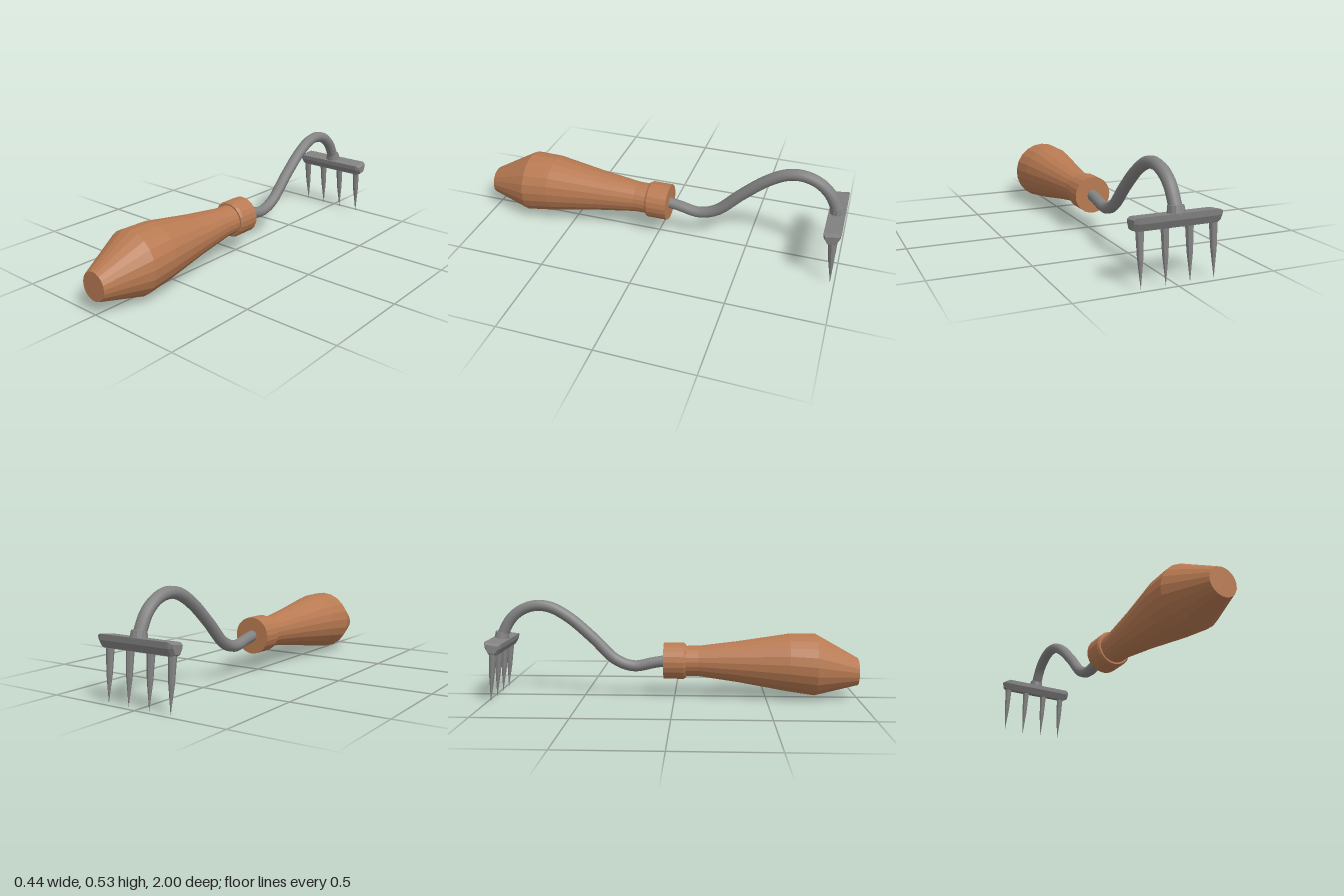
import * as THREE from 'three';

const wood = new THREE.MeshStandardMaterial({ color: 0xb87a52 });
wood.name = 'wood';
const metal = new THREE.MeshStandardMaterial({ color: 0x838383 });
metal.name = 'steel';

// Faceted mesh: unshared vertices give one normal per face
function facet(name, geometry, material) {
  const g = geometry.index ? geometry.toNonIndexed() : geometry;
  g.computeVertexNormals();
  const mesh = new THREE.Mesh(g, material);
  mesh.name = name;
  return mesh;
}

// Turned part along z from rows of [z, radius, centre height]
function turned(rows, sides) {
  const pts = rows.map(([z, r]) => new THREE.Vector2(r, z));
  const g = new THREE.LatheGeometry(pts, sides, Math.PI);
  g.rotateX(Math.PI / 2);
  const p = g.attributes.position;
  for (let i = 0; i < p.count; i++) {
    p.setY(i, p.getY(i) + rows[i % rows.length][2]);
  }
  return g;
}

export function createModel() {
  const model = new THREE.Group();
  model.name = 'handRake';

  // Wooden grip, drooping toward its butt end
  model.add(facet('grip', turned([
    [0.04, 0.083, 0.198], [0.13, 0.084, 0.198], [0.35, 0.114, 0.196],
    [0.62, 0.159, 0.193], [0.765, 0.17, 0.183], [1, 0.075, 0.145], [1, 0, 0.145],
  ], 21), wood));

  // Wooden collar at the neck
  model.add(facet('collar', turned([
    [-0.06, 0, 0.198], [-0.06, 0.1, 0.198], [0.05, 0.1, 0.198],
    [0.062, 0.092, 0.198], [0.062, 0, 0.198],
  ], 21), wood));

  // Bent steel shank
  const path = new THREE.CatmullRomCurve3([
    [0.199, -0.04], [0.186, -0.12], [0.167, -0.225], [0.202, -0.325],
    [0.322, -0.45], [0.434, -0.58], [0.49, -0.68], [0.501, -0.76],
    [0.478, -0.84], [0.425, -0.905], [0.33, -0.958],
  ].map(([y, z]) => new THREE.Vector3(0, y, z)));
  const shank = new THREE.Mesh(new THREE.TubeGeometry(path, 44, 0.031, 10), metal);
  shank.name = 'shank';
  model.add(shank);

  // Ring where the shank meets the head
  const ring = facet('socketRing', new THREE.CylinderGeometry(0.037, 0.042, 0.04, 12), metal);
  ring.position.set(0, 0.334, -0.957);
  ring.rotation.x = 0.13;
  model.add(ring);

  // Head bar: tilted, tapered section with bevelled ends
  const section = new THREE.Shape([
    [-0.912, 0.315], [-0.914, 0.29], [-0.935, 0.256],
    [-0.98, 0.262], [-0.997, 0.298], [-1, 0.327],
  ].map(([z, y]) => new THREE.Vector2(-z, y)));
  const bar = new THREE.ExtrudeGeometry(section, {
    depth: 0.396, bevelEnabled: true, bevelSegments: 1,
    bevelThickness: 0.02, bevelSize: 0.01, bevelOffset: -0.01,
  });
  bar.translate(0, 0, -0.198);
  bar.rotateY(Math.PI / 2);
  model.add(facet('headBar', bar, metal));

  // Four pointed tines
  for (let i = 0; i < 4; i++) {
    const profile = [[0, 0], [0.0145, 0.14], [0.02, 0.27]];
    const tine = facet('tine', new THREE.LatheGeometry(
      profile.map(([r, y]) => new THREE.Vector2(r, y)), 8), metal);
    tine.position.set(-0.19 + i * 0.1217, 0, -0.979);
    tine.rotation.x = 0.08;
    model.add(tine);
  }
  return model;
}
